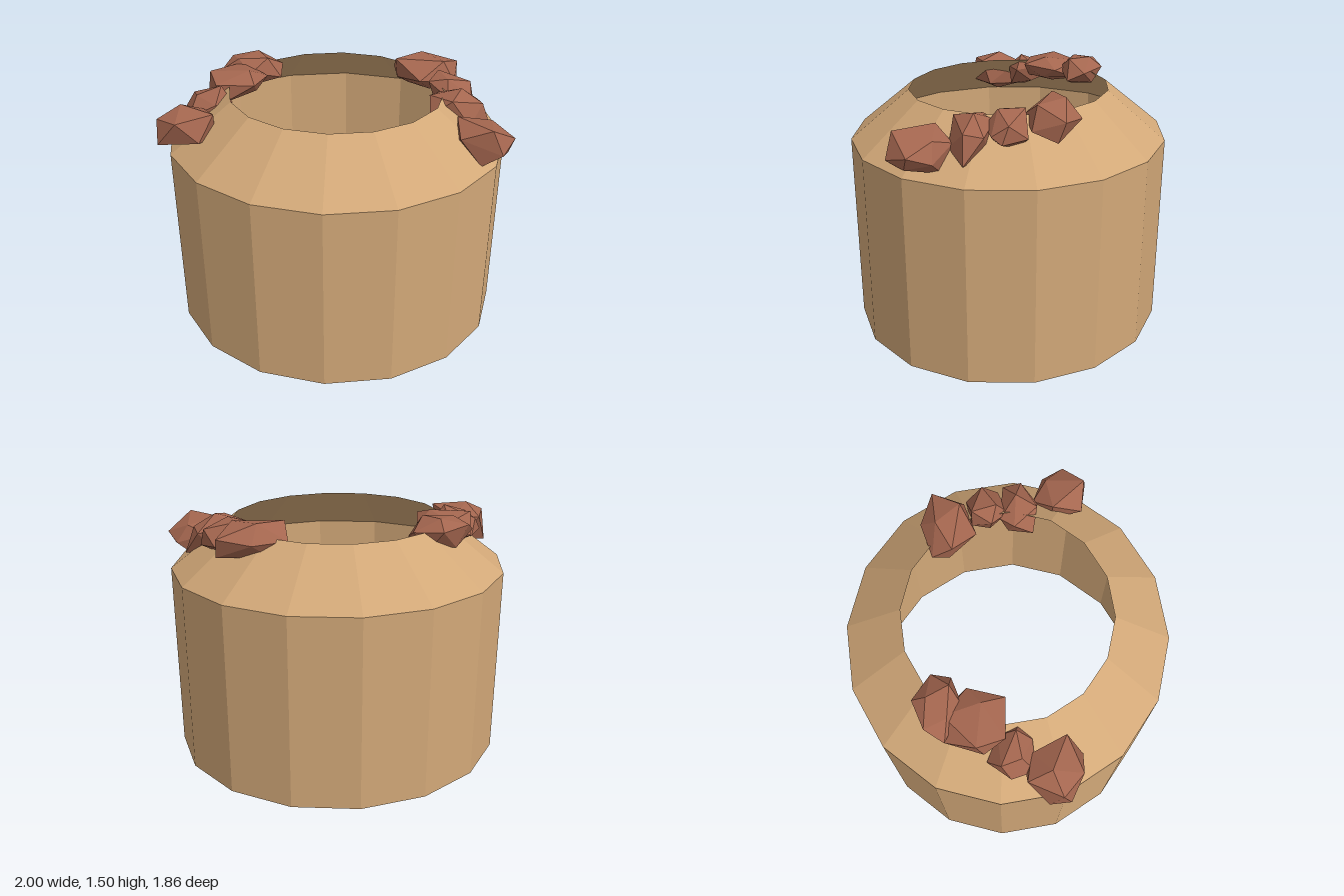
import * as THREE from 'three';

const clay = new THREE.MeshStandardMaterial({ color: 0xd2a878, flatShading: true, side: THREE.DoubleSide });
clay.name = 'tan clay';
const stone = new THREE.MeshStandardMaterial({ color: 0xa4664f, flatShading: true });
stone.name = 'red brown rock';

// Faceted rock: jittered icosahedron, flattened along the slope, then fitted to a box
function rockGeometry(seed, tilt, size) {
  const geo = new THREE.IcosahedronGeometry(1, 0);
  const pos = geo.attributes.position;
  const v = new THREE.Vector3();
  // the same corner always gets the same offset, so faces stay joined
  const noise = (p, k) => {
    const s = Math.sin(Math.round(p.x * 50) * 12.99 + Math.round(p.y * 50) * 78.23
      + Math.round(p.z * 50) * 37.72 + seed * 9.1 + k * 4.7) * 43758.5453;
    return s - Math.floor(s) - 0.5;
  };
  for (let i = 0; i < pos.count; i++) {
    v.fromBufferAttribute(pos, i);
    const d = [0, 1, 2].map((k) => noise(v, k) * 0.4);
    pos.setXYZ(i, v.x + d[0], v.y + d[1], v.z + d[2]);
  }
  geo.rotateY(seed * 1.3);
  geo.scale(1, 0.75, 1);
  geo.rotateZ(tilt);
  geo.center();
  geo.computeBoundingBox();
  const b = geo.boundingBox.getSize(v);
  geo.scale(size[0] / b.x, size[1] / b.y, size[2] / b.z);
  geo.computeVertexNormals();
  return geo;
}

export function createModel() {
  const group = new THREE.Group();

  // Thin open sixteen-sided wall with a sloping shoulder
  const profile = [[0.99, 0], [0.99, 1.135], [0.625, 1.415]].map(([x, y]) => new THREE.Vector2(x, y));
  const shellGeo = new THREE.LatheGeometry(profile, 16).toNonIndexed();
  shellGeo.scale(1, 1, 0.937);
  shellGeo.computeVertexNormals();
  const shell = new THREE.Mesh(shellGeo, clay);
  shell.name = 'wall';
  shell.position.x = -0.01;
  group.add(shell);

  // Rocks resting on the shoulder: centre, size, tilt
  const rocks = [
    [[0.84, 1.265, 0.275], [0.32, 0.22, 0.31], -0.2],
    [[0.71, 1.32, 0.04], [0.36, 0.26, 0.21], -0.65],
    [[0.66, 1.365, -0.145], [0.27, 0.19, 0.25], -0.5],
    [[0.515, 1.4, -0.355], [0.39, 0.2, 0.32], -0.2],
    [[-0.83, 1.285, 0.275], [0.33, 0.25, 0.31], 0.65],
    [[-0.75, 1.33, 0.05], [0.29, 0.23, 0.26], 0.6],
    [[-0.61, 1.37, -0.15], [0.34, 0.19, 0.33], 0.3],
    [[-0.555, 1.39, -0.35], [0.37, 0.19, 0.27], 0.2],
  ];
  rocks.forEach(([centre, size, tilt], i) => {
    const rock = new THREE.Mesh(rockGeometry(i + 1, tilt, size), stone);
    rock.name = `${centre[0] > 0 ? 'left' : 'right'}Rock${(i % 4) + 1}`;
    rock.position.set(...centre);
    group.add(rock);
  });

  return group;
}
